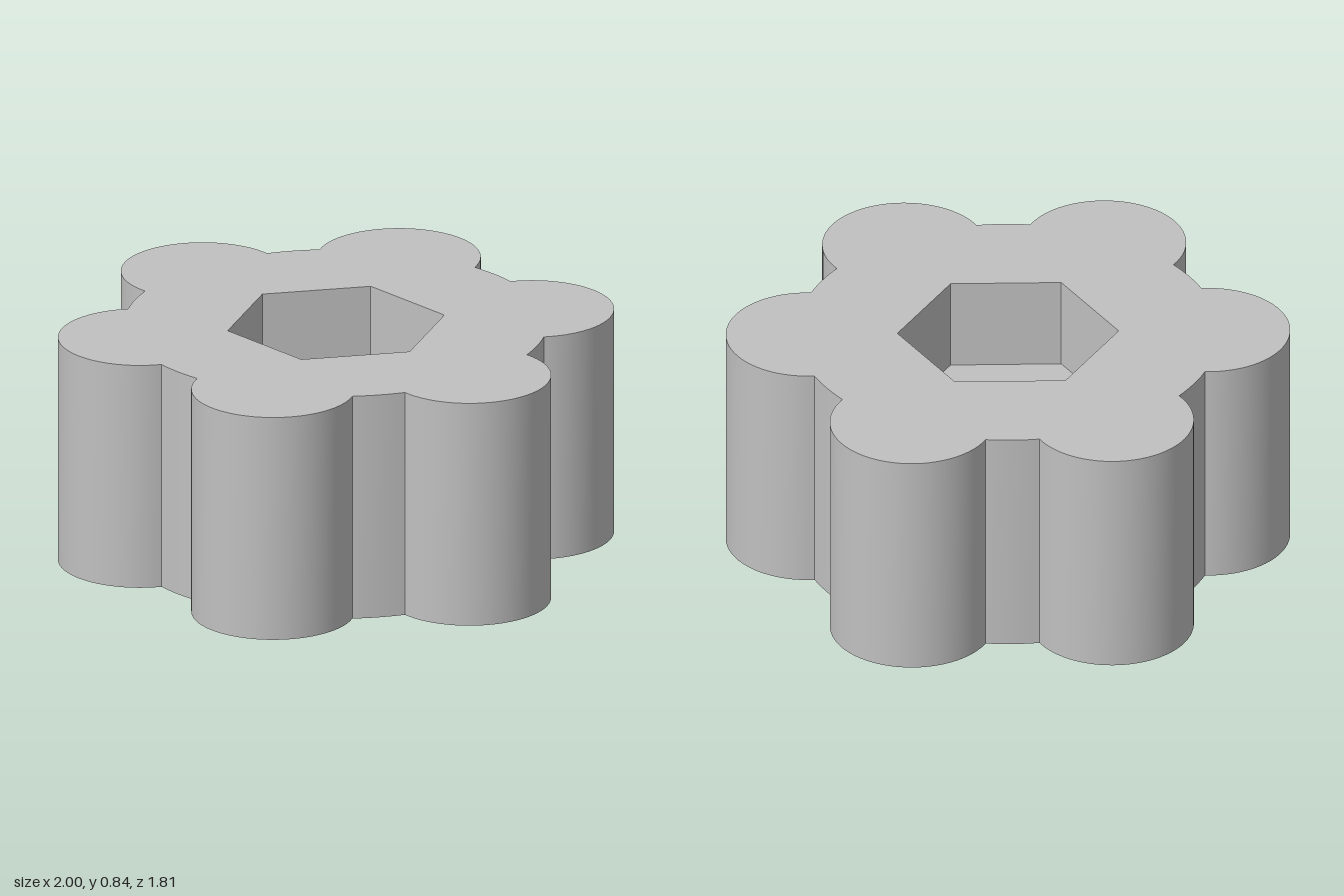
import * as THREE from 'three';
import { toCreasedNormals } from 'three/addons/utils/BufferGeometryUtils.js';

const HEIGHT = 0.84, FLOOR = 0.505;            // total height, floor of the hex pocket
const CORE = 0.75, LOBE = 0.29, LOBE_AT = 0.71; // core radius, lobe radius, lobe centre distance
const BORE = 0.205, HEX = 0.392;

// Points along an arc, counter-clockwise, both ends included
function arc(cx, cy, r, from, to, n) {
  return Array.from({ length: n + 1 }, (_, i) => {
    const a = from + (to - from) * i / n;
    return new THREE.Vector2(cx + r * Math.cos(a), cy + r * Math.sin(a));
  });
}

// Closed ring of points
const ring = (r, n) => arc(0, 0, r, 0, Math.PI * 2, n).slice(0, n);

// Six round lobes joined by short arcs of the core
function lobedOutline() {
  const a = (LOBE_AT ** 2 + CORE ** 2 - LOBE ** 2) / (2 * LOBE_AT);
  const h = Math.sqrt(CORE ** 2 - a * a);
  const lobeHalf = Math.atan2(h, a - LOBE_AT), coreHalf = Math.atan2(h, a);
  const points = [];
  for (let i = 0; i < 6; i++) {
    const t = i * Math.PI / 3;
    const cx = LOBE_AT * Math.cos(t), cy = LOBE_AT * Math.sin(t);
    points.push(...arc(cx, cy, LOBE, t - lobeHalf, t + lobeHalf, 36));
    points.push(...arc(0, 0, CORE, t + coreHalf, t + Math.PI / 3 - coreHalf, 6).slice(1, -1));
  }
  return points;
}

// Vertical wall over a closed loop; counter-clockwise loops face outward
function wall(points, y0, y1) {
  const pos = [];
  points.forEach((p, i) => {
    const q = points[(i + 1) % points.length];
    pos.push(p.x, y0, -p.y, q.x, y0, -q.y, q.x, y1, -q.y);
    pos.push(p.x, y0, -p.y, q.x, y1, -q.y, p.x, y1, -p.y);
  });
  const g = new THREE.BufferGeometry();
  g.setAttribute('position', new THREE.Float32BufferAttribute(pos, 3));
  return toCreasedNormals(g, 0.45);
}

// Flat horizontal face with a hole, facing up or down
function face(points, hole, y, up) {
  const shape = new THREE.Shape(points);
  shape.holes.push(new THREE.Path(hole));
  return new THREE.ShapeGeometry(shape).rotateX(up ? -Math.PI / 2 : Math.PI / 2).translate(0, y, 0);
}

export function createModel() {
  const group = new THREE.Group();
  group.name = 'lobedKnob';
  const grey = new THREE.MeshStandardMaterial({ color: 0xc0c0c0 });
  grey.name = 'light grey';

  const add = (name, geometry) => {
    const mesh = new THREE.Mesh(geometry, grey);
    mesh.name = name;
    group.add(mesh);
  };

  const outline = lobedOutline(), hex = ring(HEX, 6), bore = ring(BORE, 64);

  // Body
  add('lobedSide', wall(outline, 0, HEIGHT));
  add('topFace', face(outline, hex, HEIGHT, true));
  add('bottomFace', face(outline, bore, 0, false));

  // Hexagonal nut pocket and through bore
  add('hexPocketWall', wall([...hex].reverse(), FLOOR, HEIGHT));
  add('hexPocketFloor', face(hex, bore, FLOOR, true));
  add('boreWall', wall([...bore].reverse(), 0, FLOOR));

  return group;
}
